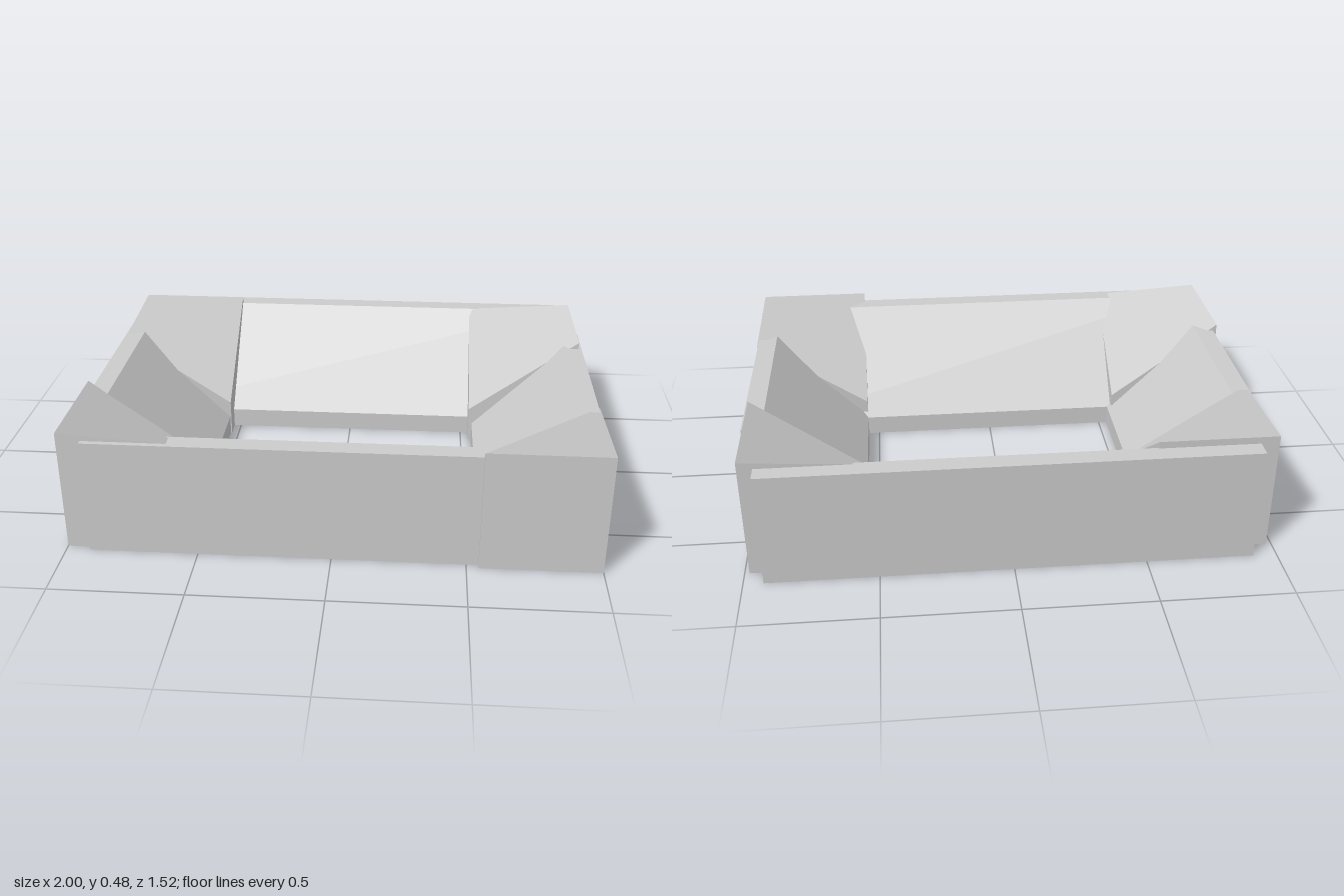
import * as THREE from 'three';

const material = new THREE.MeshStandardMaterial({ color: 0xcccccc });

// Straight bank: outward is local +x, running along local z from start to end.
function bank(name, inner, start, end, yaw) {
  const outer = inner + 0.45, height = 0.453;
  const profile = new THREE.Shape([
    [inner, 0], [outer, 0], [outer, height], [outer - 0.075, height], [inner, 0.08],
  ].map(([x, y]) => new THREE.Vector2(x, y)));
  const geometry = new THREE.ExtrudeGeometry(profile, { depth: end - start, bevelEnabled: false });
  geometry.translate(0, 0, start);
  const mesh = new THREE.Mesh(geometry, material);
  mesh.name = name;
  mesh.rotation.y = yaw;
  return mesh;
}

// Corner block: a box whose top dips to its inner corner; each face has one normal.
function corner(name, x0, z0, x1, z1, yaw) {
  const plan = [[x0, z0, 0.15], [x0, z1, 0.48], [x1, z1, 0.48], [x1, z0, 0.45]];
  const top = plan.map(([x, z, y]) => new THREE.Vector3(x, y, z));
  const base = plan.map(([x, z]) => new THREE.Vector3(x, 0, z));
  const positions = [], normals = [];
  const quad = (a, b, c, d) => {
    const n = c.clone().sub(a).cross(d.clone().sub(b)).normalize();
    for (const p of [a, b, d, b, c, d]) {
      positions.push(p.x, p.y, p.z);
      normals.push(n.x, n.y, n.z);
    }
  };
  quad(...top);
  quad(base[0], base[3], base[2], base[1]);
  for (let i = 0; i < 4; i++) {
    const j = (i + 1) % 4;
    quad(base[i], base[j], top[j], top[i]);
  }
  const geometry = new THREE.BufferGeometry();
  geometry.setAttribute('position', new THREE.Float32BufferAttribute(positions, 3));
  geometry.setAttribute('normal', new THREE.Float32BufferAttribute(normals, 3));
  const mesh = new THREE.Mesh(geometry, material);
  mesh.name = name;
  mesh.rotation.y = yaw;
  return mesh;
}

export function createModel() {
  const group = new THREE.Group();
  group.name = 'slopedFrame';
  const q = Math.PI / 2;

  // Four straight banks
  group.add(
    bank('leftBank', 0.545, -0.42, 0.44, 0),
    bank('frontBank', 0.29, -0.92, 0.91, -q),
    bank('rightBank', 0.535, -0.44, 0.42, 2 * q),
    bank('backBank', 0.315, -0.91, 0.925, q),
  );

  // Four corner blocks, each a quarter turn from the last
  group.add(
    corner('frontLeftCorner', 0.545, 0.31, 1.0, 0.76, 0),
    corner('frontRightCorner', 0.27, 0.55, 0.72, 1.0, -q),
    corner('backRightCorner', 0.53, 0.24, 0.98, 0.695, 2 * q),
    corner('backLeftCorner', 0.25, 0.53, 0.7, 0.982, q),
  );
  return group;
}
